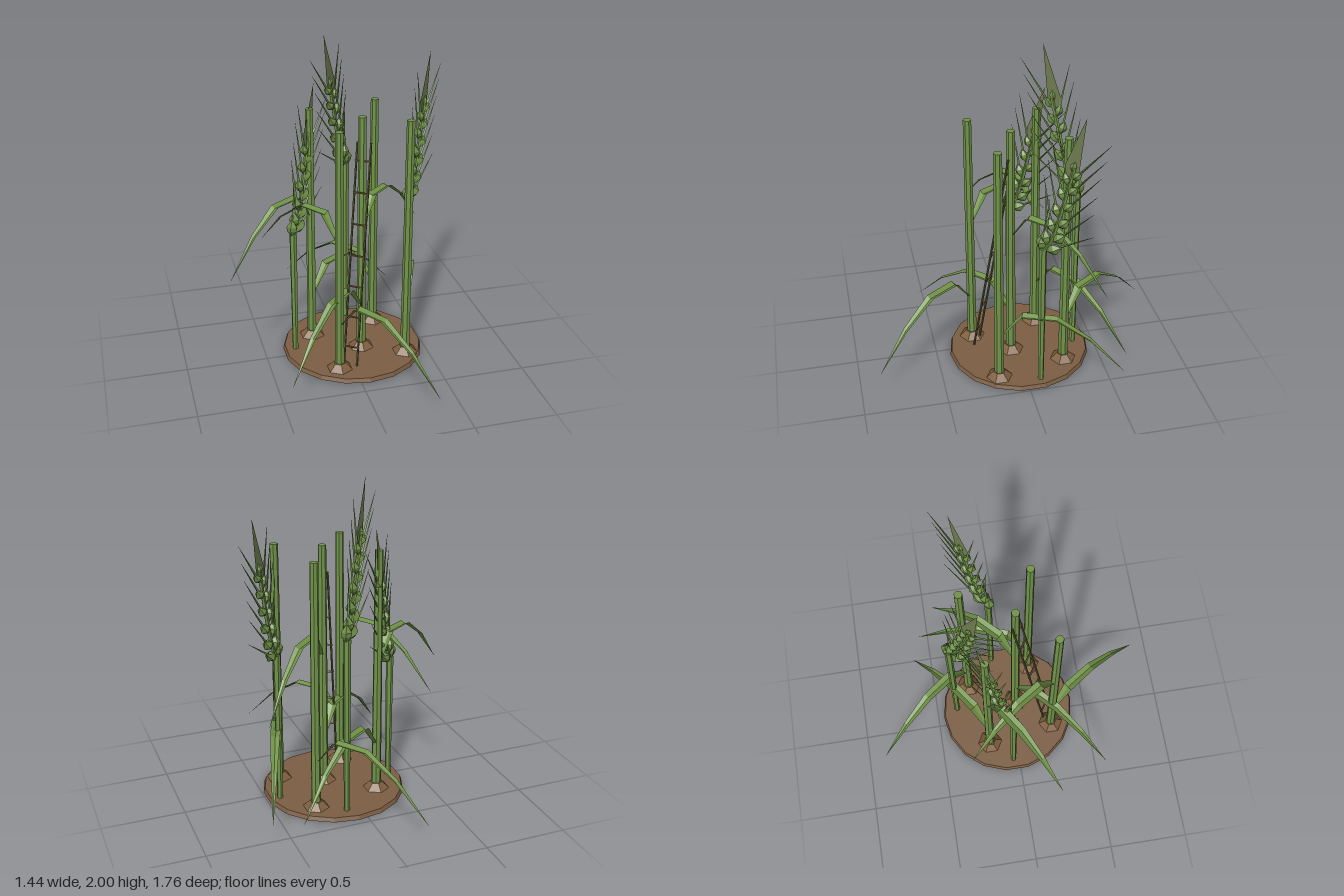
import * as THREE from 'three';

const mat = (name, color, extra = {}) => {
  const m = new THREE.MeshStandardMaterial({ color, flatShading: true, ...extra });
  m.name = name;
  return m;
};
const V = (x, y, z = 0) => new THREE.Vector3(x, y, z);

export function createModel() {
  const root = new THREE.Group();
  root.name = 'reedCluster';
  const M = {
    stalk: mat('stalkGreen', 0x72944a),
    leaf: mat('leafGreen', 0x6f9145, { side: THREE.DoubleSide }),
    grain: mat('grainGreen', 0x6c8c45),
    blade: mat('bladeGrey', 0x707c50, { side: THREE.DoubleSide }),
    soil: mat('soilBrown', 0x7c5e44),
    mound: mat('moundBrown', 0x80603f),
    rail: mat('railOlive', 0x56592f),
    rung: mat('rungBrown', 0x7d5a40),
  };

  const add = (parent, name, geo, material) => {
    const mesh = new THREE.Mesh(geo, material);
    mesh.name = name;
    parent.add(mesh);
    return mesh;
  };

  // Tapered rod from point a to point b
  const rod = (parent, name, a, b, ra, rb, sides, material) => {
    const d = b.clone().sub(a);
    const mesh = add(parent, name, new THREE.CylinderGeometry(rb, ra, d.length(), sides), material);
    mesh.position.copy(a).add(b).multiplyScalar(0.5);
    mesh.quaternion.setFromUnitVectors(V(0, 1, 0), d.normalize());
    return mesh;
  };

  // Ground disc
  const ground = add(root, 'ground', new THREE.CylinderGeometry(0.43, 0.44, 0.025, 18), M.soil);
  ground.position.set(0.056, 0.0125, -0.023);

  // Arching leaf: folded strip, [reach, rise, half width] per cross-section
  const LEAF = [
    [0.02, 0, 0.014], [0.137, 0.155, 0.032], [0.344, 0.152, 0.029], [0.55, 0.02, 0.018], [0.765, -0.197, 0.0008],
  ];
  const leafGeometry = (reach) => {
    const pos = [], idx = [];
    LEAF.forEach(([r, y, w], i) => {
      const x = r * reach / 0.765;
      pos.push(x, y, -w, x, y - w * 0.45, 0, x, y, w);
      if (i === 0) return;
      for (let k = 0; k < 2; k++) {
        const a = (i - 1) * 3 + k, b = a + 1, c = a + 3, d = a + 4;
        idx.push(a, b, c, b, d, c);
      }
    });
    const g = new THREE.BufferGeometry();
    g.setAttribute('position', new THREE.Float32BufferAttribute(pos, 3));
    g.setIndex(idx);
    g.computeVertexNormals();
    return g;
  };

  // Stalks with mounds; each leaf is [tip x, tip z, base height]
  const LOW = 0.34, HIGH = 0.88;
  const stalks = [
    [-0.17, -0.178, [[0.455, -0.612, LOW], [-0.73, 0.195, HIGH]]],
    [-0.095, 0.25, [[0.33, 0.88, LOW], [-0.458, -0.315, HIGH]]],
    [0.098, 0.036, [[-0.45, 0.557, LOW], [0.587, -0.425, HIGH]]],
    [0.257, -0.262, [[-0.19, -0.88, LOW]]],
    [0.35, 0.162, [[0.62, -0.553, LOW]]],
  ];
  for (const [x, z, leaves] of stalks) {
    const plant = new THREE.Group();
    plant.name = 'reed';
    plant.position.set(x, 0, z);
    root.add(plant);
    rod(plant, 'stalk', V(0, 0.02, 0), V(0, 1.56, 0), 0.03, 0.025, 7, M.stalk);
    const mound = add(plant, 'mound', new THREE.CylinderGeometry(0.038, 0.085, 0.045, 6), M.mound);
    mound.position.y = 0.043;
    for (const [tx, tz, y] of leaves) {
      const dx = tx - x, dz = tz - z;
      const leaf = add(plant, 'leaf', leafGeometry(Math.hypot(dx, dz)), M.leaf);
      leaf.position.y = y;
      leaf.rotation.y = Math.atan2(-dz, dx);
    }
  }

  // Grain ear, flat in its local xy plane and leaning to +x
  const spine = new THREE.CatmullRomCurve3([V(0, -0.02), V(0.05, 0.06), V(0.1, 0.22), V(0.145, 0.4), V(0.185, 0.56)]);
  const grainGeo = new THREE.LatheGeometry(
    [[0, -0.055], [0.03, -0.01], [0.033, 0.015], [0, 0.065]].map(([r, y]) => new THREE.Vector2(r, y)), 5);
  const bladeGeo = new THREE.ShapeGeometry(new THREE.Shape(
    [[0.135, 0.47], [0.215, 0.55], [0.25, 0.875], [0.13, 0.58]].map(([a, b]) => new THREE.Vector2(a, b))));

  const buildEar = () => {
    const ear = new THREE.Group();
    ear.name = 'ear';
    add(ear, 'earSpine', new THREE.TubeGeometry(spine, 8, 0.012, 5), M.stalk);
    add(ear, 'endBlade', bladeGeo, M.blade);
    const count = 12;
    for (let i = 0; i < count; i++) {
      const t = 0.1 + 0.85 * i / (count - 1);
      const side = i % 2 ? 1 : -1;
      const p = spine.getPoint(t), d = spine.getTangent(t);
      const lean = Math.atan2(d.x, d.y);
      const size = 1.05 - 0.35 * t;
      const grain = add(ear, 'grain', grainGeo, M.grain);
      grain.position.set(p.x + side * d.y * 0.036 * size, p.y - side * d.x * 0.036 * size, 0);
      grain.rotation.z = -(lean + side * 0.55);
      grain.scale.setScalar(size);
      // Bristle rising from the grain
      const a = lean + side * 0.45;
      const tip = grain.position.clone().add(V(Math.sin(a) * 0.31, Math.cos(a) * 0.31));
      rod(ear, 'bristle', grain.position, tip, 0.009, 0.0008, 3, M.grain);
    }
    const top = add(ear, 'topGrain', grainGeo, M.grain);
    top.position.set(0.18, 0.57, 0);
    top.rotation.z = -0.25;
    top.scale.setScalar(0.6);
    return ear;
  };

  // Thin stems carrying the ears: x, z, height, turn
  const stems = [
    [-0.31, -0.04, 0.83, Math.PI / 4],
    [0.425, -0.08, 0.965, Math.PI / 4],
    [0.1, -0.365, 1.12, Math.PI * 5 / 4],
  ];
  for (const [x, z, h, turn] of stems) {
    const plant = new THREE.Group();
    plant.name = 'grainPlant';
    plant.position.set(x, 0, z);
    root.add(plant);
    rod(plant, 'stem', V(0, 0.01, 0), V(0, h, 0), 0.018, 0.023, 6, M.stalk);
    const ear = buildEar();
    ear.position.y = h;
    ear.rotation.y = turn;
    plant.add(ear);
  }

  // Leaning ladder
  const ladder = new THREE.Group();
  ladder.name = 'ladder';
  root.add(ladder);
  const foot = V(-0.025, 0.01, 0.235), head = V(0.108, 1.4, 0.035);
  const half = V(0.041, 0, 0.028);
  for (const s of [-1, 1]) {
    const off = half.clone().multiplyScalar(s * 0.85);
    rod(ladder, 'rail', foot.clone().add(off), head.clone().add(off), 0.007, 0.007, 5, M.rail);
  }
  for (let i = 0; i < 7; i++) {
    const c = foot.clone().lerp(head, (0.13 + i * 0.192) / 1.39);
    rod(ladder, 'rung', c.clone().sub(half), c.clone().add(half), 0.006, 0.006, 5, M.rung);
  }

  return root;
}
